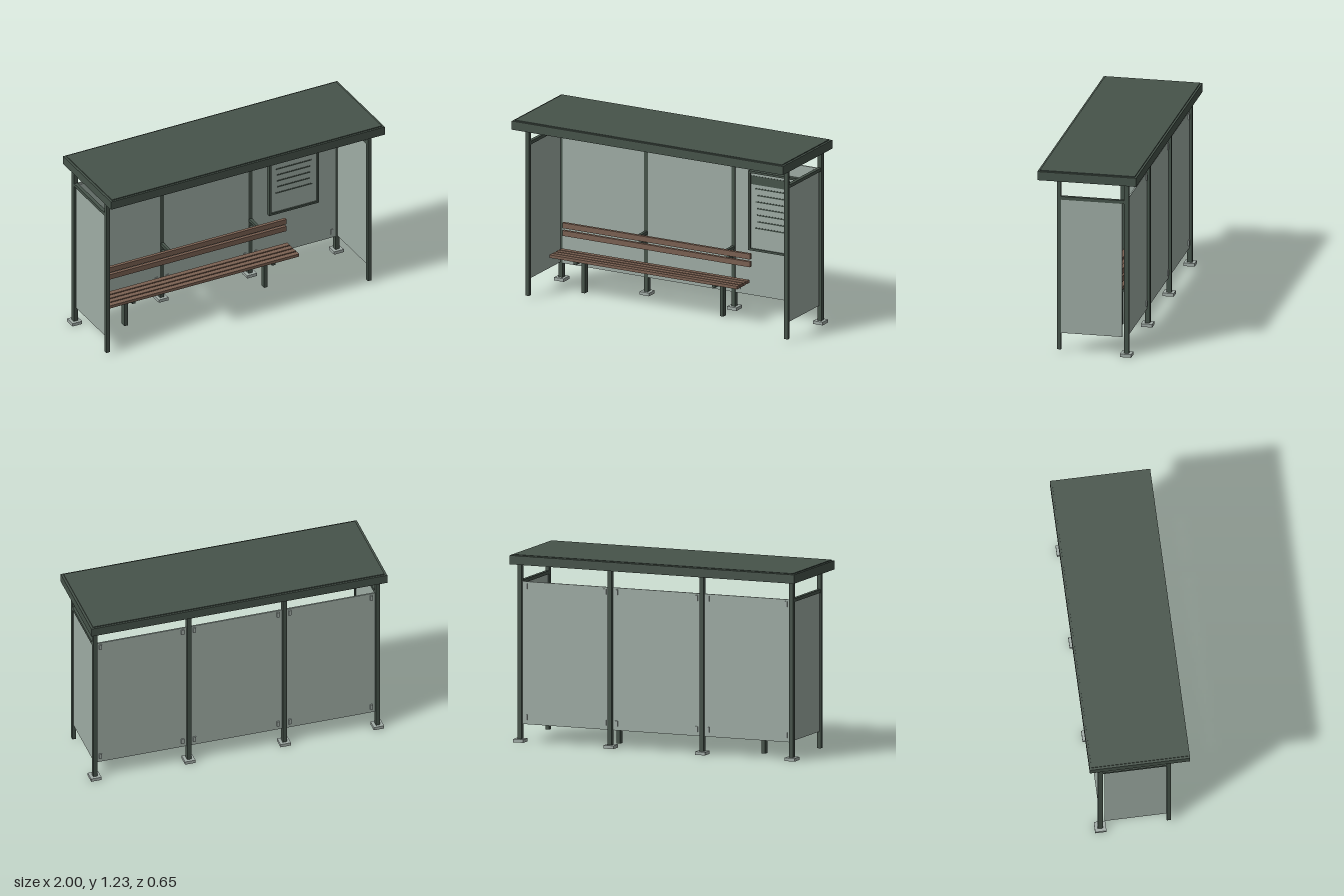
import * as THREE from 'three';

const mat = (name, color) => {
  const m = new THREE.MeshStandardMaterial({ color });
  m.name = name;
  return m;
};

export function createModel() {
  const root = new THREE.Group();
  root.name = 'busShelter';
  const green = mat('dark green steel', 0x46534a);
  const glass = mat('pale glass', 0x9fada5);
  const wood = mat('brown wood', 0x7b6152);
  const steel = mat('light steel', 0xa2ada8);

  // Box given by its limits on each axis
  const box = (name, m, x0, x1, y0, y1, z0, z1, parent = root) => {
    const mesh = new THREE.Mesh(new THREE.BoxGeometry(x1 - x0, y1 - y0, z1 - z0), m);
    mesh.position.set((x0 + x1) / 2, (y0 + y1) / 2, (z0 + z1) / 2);
    mesh.name = name;
    parent.add(mesh);
    return mesh;
  };
  const group = (name) => {
    const g = new THREE.Group();
    g.name = name;
    root.add(g);
    return g;
  };

  // Roof: slab, raised top sheet and fascia rim
  const roof = group('roof');
  box('roofSlab', green, -0.98, 0.98, 1.18, 1.22, -0.31, 0.31, roof);
  box('roofTop', green, -0.985, 0.985, 1.22, 1.232, -0.313, 0.313, roof);
  for (const s of [-1, 1]) {
    const z = s * 0.315, x = s * 0.99;
    box('longFascia', green, -1, 1, 1.168, 1.226, z - 0.011, z + 0.011, roof);
    box('endFascia', green, x - 0.01, x + 0.01, 1.168, 1.226, -0.304, 0.304, roof);
  }

  // Back posts on base plates
  const postX = [-0.955, -0.325, 0.32, 0.955];
  for (const x of postX) {
    box('backPost', green, x - 0.014, x + 0.014, 0.02, 1.182, -0.27, -0.237);
    box('basePlate', steel, x - 0.035, x + 0.035, 0.003, 0.024, -0.29, -0.216);
  }

  // Back glass panels with a clip near every corner
  for (let i = 0; i < 3; i++) {
    const a = postX[i] + 0.012, b = postX[i + 1] - 0.012;
    box('backGlass', glass, a, b, 0.12, 1.05, -0.251, -0.241);
    for (const x of [a + 0.028, b - 0.028])
      for (const y of [0.165, 1.02])
        box('glassClip', steel, x - 0.009, x + 0.009, y - 0.018, y + 0.018, -0.259, -0.236);
  }

  // Sides: front post, top rail and glass
  for (const s of [-1, 1]) {
    const x = s * 0.955;
    box('frontPost', green, x - 0.013, x + 0.013, 0.02, 1.182, 0.178, 0.204);
    box('sideRail', green, x - 0.012, x + 0.012, 1.035, 1.057, -0.24, 0.18);
    box('sideGlass', glass, x - 0.005, x + 0.005, 0.13, 1.036, -0.225, 0.18);
  }

  // Bench: seat slats, backrest slats, legs and brackets
  const bench = group('bench');
  for (let i = 0; i < 4; i++) {
    const z = 0.045 - i * 0.0425;
    box('seatSlat', wood, -0.87, 0.515, 0.25, 0.27, z - 0.017, z + 0.017, bench);
  }
  for (const y of [0.352, 0.404])
    box('backrestSlat', wood, -0.87, 0.515, y, y + 0.036, -0.13, -0.108, bench);
  for (const x of [-0.685, 0.335]) {
    box('benchLeg', green, x - 0.012, x + 0.012, 0.008, 0.235, -0.095, -0.055, bench);
    box('seatBracket', green, x - 0.012, x + 0.012, 0.23, 0.25, -0.11, 0.052, bench);
  }
  for (const x of [postX[1], postX[2]])
    for (const y of [0.37, 0.422])
      box('backrestBracket', green, x - 0.01, x + 0.01, y - 0.01, y + 0.01, -0.24, -0.13, bench);

  // Timetable board: frame, sheet, header and lines
  const board = group('timetableBoard');
  box('boardSheet', glass, 0.455, 0.795, 0.44, 0.955, -0.238, -0.219, board);
  for (const x of [0.445, 0.791])
    box('boardFrameSide', green, x, x + 0.014, 0.43, 0.966, -0.238, -0.21, board);
  for (const y of [0.43, 0.952])
    box('boardFrameEnd', green, 0.459, 0.791, y, y + 0.014, -0.238, -0.21, board);
  box('boardHeader', green, 0.462, 0.788, 0.877, 0.935, -0.22, -0.216, board);
  const halfWidths = [0.134, 0.121, 0.129, 0.121, 0.121, 0.118, 0.134];
  halfWidths.forEach((w, i) => {
    const y = 0.85 - i * 0.0445;
    box('boardLine', green, 0.626 - w, 0.626 + w, y - 0.004, y + 0.004, -0.22, -0.216, board);
  });

  return root;
}
